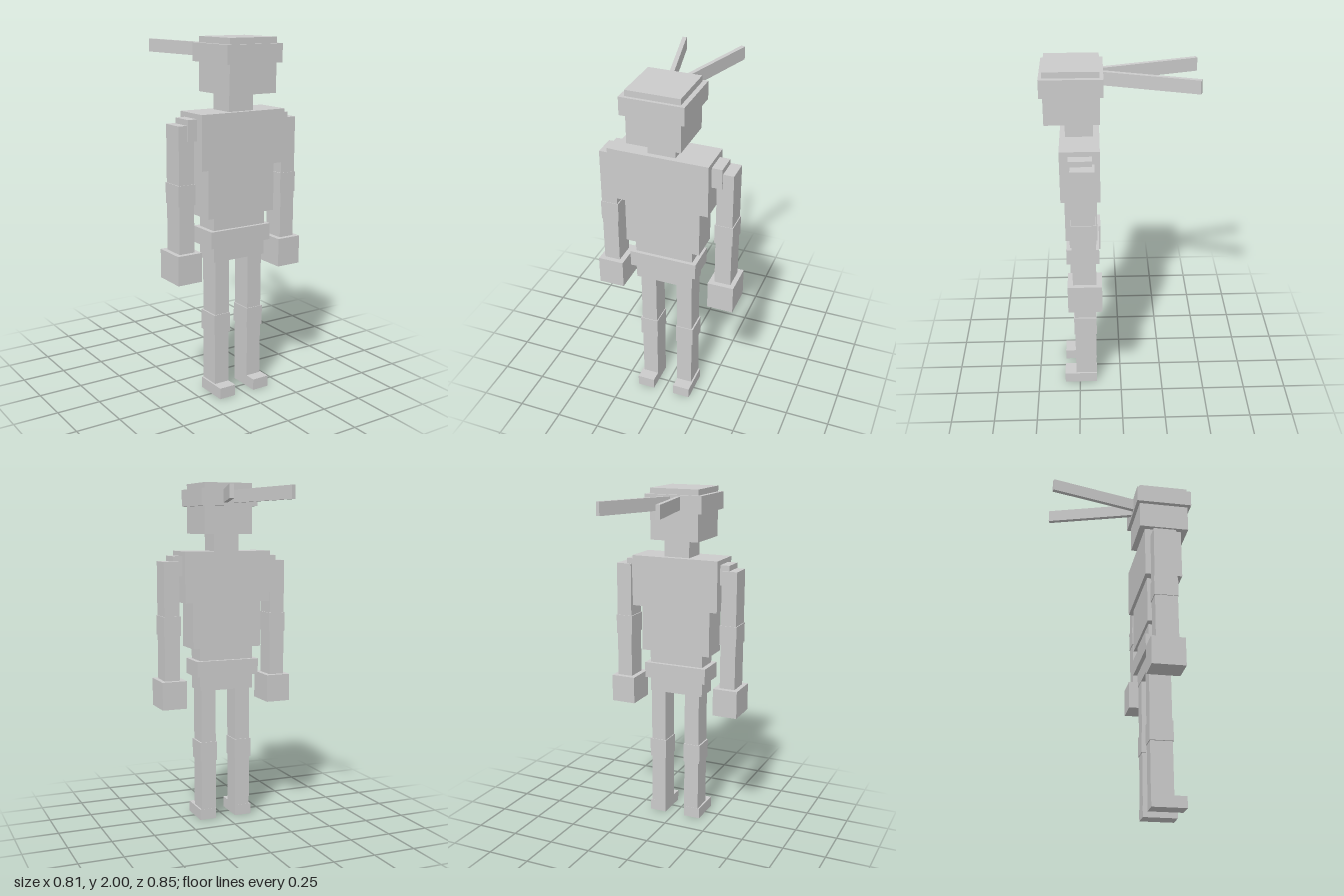
import * as THREE from 'three';

const material = new THREE.MeshStandardMaterial({ color: 0xcccccc, flatShading: true });

// Box given by its extents along x, y and z
function block(parent, name, [x0, x1], [y0, y1], [z0, z1]) {
  const mesh = new THREE.Mesh(new THREE.BoxGeometry(x1 - x0, y1 - y0, z1 - z0), material);
  mesh.position.set((x0 + x1) / 2, (y0 + y1) / 2, (z0 + z1) / 2);
  mesh.name = name;
  parent.add(mesh);
  return mesh;
}

// Thin strip running from one point to another
function strip(parent, name, from, to, height, thickness) {
  const a = new THREE.Vector3(...from);
  const b = new THREE.Vector3(...to);
  const mesh = new THREE.Mesh(new THREE.BoxGeometry(thickness, height, a.distanceTo(b)), material);
  mesh.position.copy(a).add(b).multiplyScalar(0.5);
  mesh.lookAt(b);
  mesh.name = name;
  parent.add(mesh);
}

export function createModel() {
  const model = new THREE.Group();
  model.name = 'blockFigure';

  // Head with a headband and two trailing tails
  const head = new THREE.Group();
  head.name = 'headGroup';
  model.add(head);
  block(head, 'head', [-0.153, 0.142], [1.708, 2], [0.108, 0.404]);
  block(head, 'headband', [-0.18, 0.168], [1.868, 1.967], [0.088, 0.422]);
  strip(head, 'rightBandTail', [-0.035, 1.922, 0.11], [-0.157, 1.931, -0.42], 0.074, 0.024);
  strip(head, 'leftBandTail', [0.015, 1.922, 0.11], [0.191, 1.931, -0.41], 0.074, 0.024);

  // Torso
  const torso = new THREE.Group();
  torso.name = 'torso';
  model.add(torso);
  block(torso, 'neck', [-0.085, 0.07], [1.6, 1.72], [0.145, 0.296]);
  block(torso, 'chest', [-0.272, 0.261], [1.313, 1.61], [0.112, 0.326]);
  block(torso, 'abdomen', [-0.22, 0.208], [1.043, 1.32], [0.131, 0.307]);
  block(torso, 'hips', [-0.173, 0.161], [0.79, 1.05], [0.145, 0.287]);
  block(torso, 'belt', [-0.2, 0.187], [0.876, 0.969], [0.122, 0.307]);

  // Arms and legs, mirrored across x
  for (const side of [-1, 1]) {
    const label = side > 0 ? 'left' : 'right';
    const span = (inner, outer) => (side > 0 ? [inner, outer] : [-outer, -inner]);

    const arm = new THREE.Group();
    arm.name = label + 'Arm';
    model.add(arm);
    block(arm, 'shoulder', span(0.24, side > 0 ? 0.319 : 0.328), [1.468, 1.583], [0.154, 0.279]);
    block(arm, 'armShaft', span(0.287, 0.379), [0.86, 1.552], [0.141, 0.27]);
    block(arm, 'elbow', span(0.281, 0.384), [1.125, 1.238], [0.137, 0.273]);
    block(arm, 'hand', span(0.257, 0.405), [0.7, 0.863], [0.11, 0.299]);

    const leg = new THREE.Group();
    leg.name = label + 'Leg';
    model.add(leg);
    block(leg, 'legShaft', span(0.063, 0.154), [0.03, 0.8], [0.147, 0.272]);
    block(leg, 'knee', span(0.058, 0.163), [0.363, 0.478], [0.143, 0.276]);
    block(leg, 'foot', span(0.063, 0.164), [0, 0.064], [0.146, 0.34]);
  }
  return model;
}
